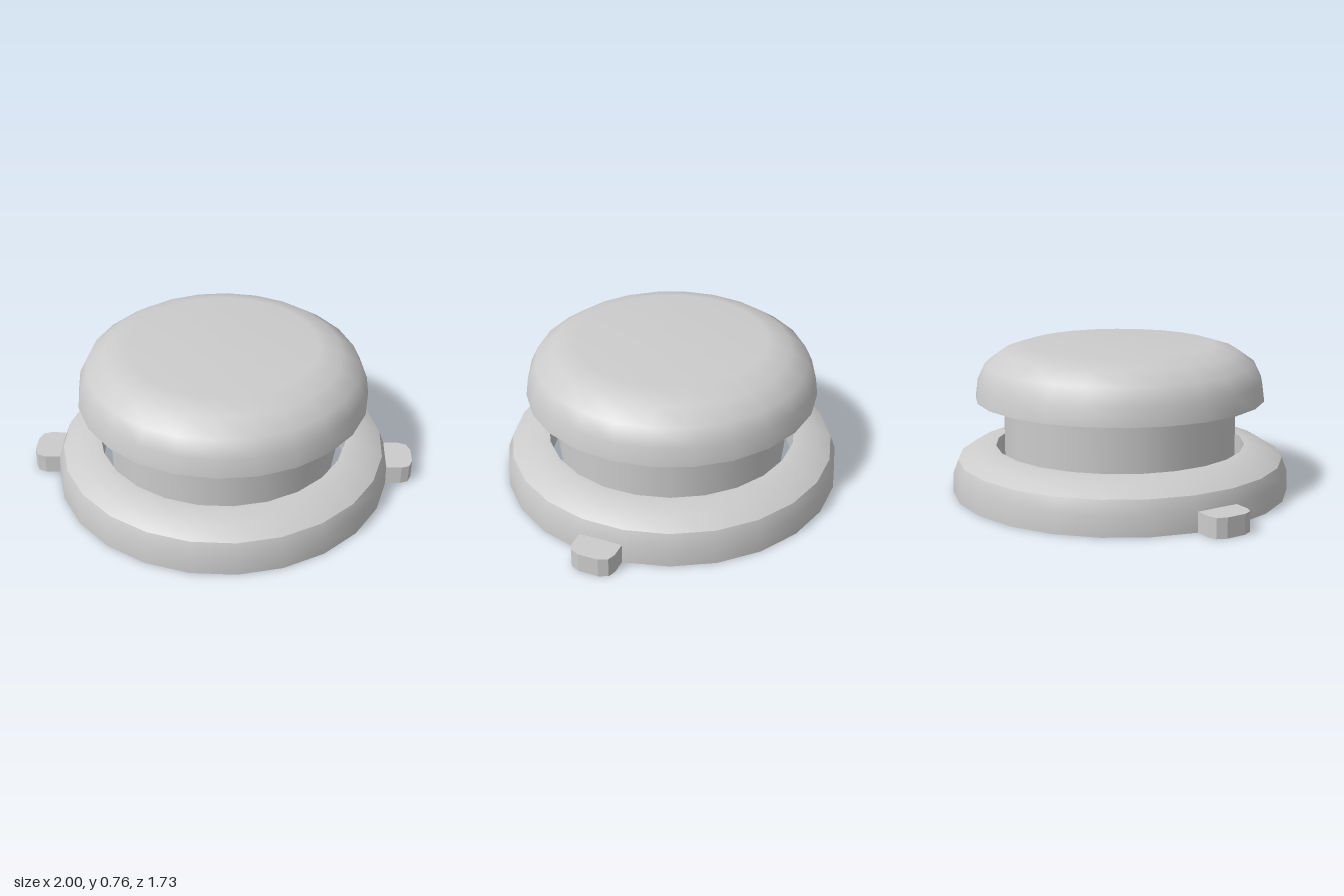
import * as THREE from 'three';
import { mergeGeometries } from 'three/addons/utils/BufferGeometryUtils.js';

const material = new THREE.MeshStandardMaterial({ color: 0xcccccc, side: THREE.DoubleSide });

// Thin turned shell from [radius, height] points
function turned(name, profile, sides) {
  const points = profile.map(([r, y]) => new THREE.Vector2(r, y));
  const mesh = new THREE.Mesh(new THREE.LatheGeometry(points, sides), material);
  mesh.name = name;
  return mesh;
}

// Side tab, open underneath: a top plate and a strip of walls along its outline
function lugGeometry() {
  const height = 0.1;
  const outline = [
    [0.86, -0.1], [0.94, -0.1], [0.98, -0.085], [1, -0.04],
    [1, 0.06], [0.98, 0.107], [0.94, 0.122], [0.86, 0.122],
  ];
  const shape = new THREE.Shape(outline.map(([x, z]) => new THREE.Vector2(x, -z)));
  const parts = [new THREE.ShapeGeometry(shape).rotateX(-Math.PI / 2).translate(0, height, 0)];
  for (let i = 0; i < outline.length - 1; i++) {
    const [bx, bz] = outline[i];
    const [ax, az] = outline[i + 1];
    const wall = new THREE.PlaneGeometry(Math.hypot(bx - ax, bz - az), height);
    wall.rotateY(-Math.atan2(bz - az, bx - ax));
    wall.translate((ax + bx) / 2, height / 2, (az + bz) / 2);
    parts.push(wall);
  }
  return mergeGeometries(parts);
}

export function createModel() {
  const model = new THREE.Group();
  model.name = 'pushButton';

  // Hollow base ring: outer wall, rounded top, inner lip
  const base = new THREE.Group();
  base.name = 'baseRing';
  base.add(
    turned('baseWall', [[0.87, 0], [0.867, 0.1], [0.84, 0.17]], 24),
    turned('baseTop', [[0.84, 0.17], [0.765, 0.215], [0.68, 0.234], [0.645, 0.235]], 24),
    turned('baseInnerWall', [[0.645, 0.235], [0.645, 0.05]], 24),
  );
  base.rotation.y = 0.117;
  model.add(base);

  // Two opposite lugs
  const lug = lugGeometry();
  ['leftLug', 'rightLug'].forEach((name, i) => {
    const mesh = new THREE.Mesh(lug, material);
    mesh.name = name;
    mesh.rotation.y = i * Math.PI;
    model.add(mesh);
  });

  // Plunger: open tube running up into the hollow cap
  const plunger = new THREE.Group();
  plunger.name = 'plunger';
  plunger.add(
    turned('stem', [[0.6, 0.13], [0.6, 0.48]], 16),
    turned('capUnderside', [[0.6, 0.48], [0.745, 0.48]], 24),
    turned('capDome', [[0.745, 0.48], [0.732, 0.575], [0.692, 0.657], [0.602, 0.72], [0.485, 0.755], [0, 0.757]], 24),
  );
  model.add(plunger);

  return model;
}
